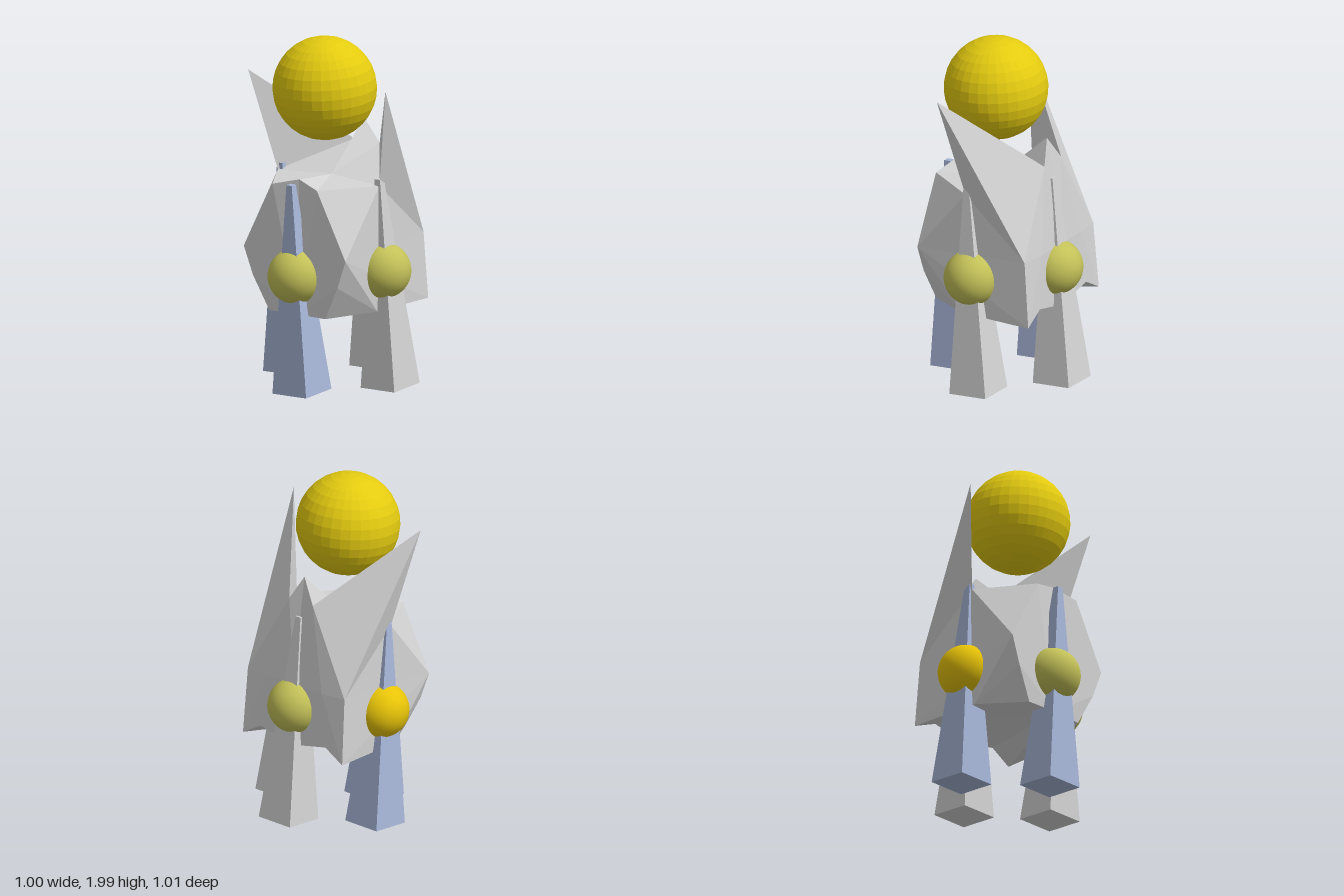
import * as THREE from 'three';

const mat = (name, color, flat = true, side = THREE.FrontSide) =>
  Object.assign(new THREE.MeshStandardMaterial({ color, flatShading: flat, side }), { name });

// Half of the faceted shell (z >= 0); the other half is mirrored
const P = {
  topMid: [-0.03, 1.21, 0], topLeft: [-0.33, 1.23, 0], peak: [0.27, 1.48, 0],
  shoulder: [-0.365, 1.19, 0.15], waist: [-0.365, 0.81, 0.35], hip: [-0.36, 0.65, 0.29],
  baseLeft: [-0.34, 0.457, 0.19], baseLeftMid: [-0.345, 0.46, 0], baseFront: [-0.07, 0.475, 0.35],
  collar: [-0.05, 1.19, 0.35], spike: [-0.16, 1.765, 0.475], ridge: [0.305, 1.34, 0.083],
  side: [0.345, 0.86, 0.36], sideIn: [0.36, 0.86, 0.2], sideMid: [0.36, 0.86, 0],
  baseRight: [0.375, 0.478, 0.37], notch: [0.372, 0.55, 0.24], baseRightMid: [0.372, 0.5, 0],
};

// Each polygon is listed counter-clockwise and filled as a fan
const FACES = [
  'baseLeftMid baseLeft hip waist shoulder topLeft',
  'shoulder waist collar',
  'waist side collar',
  'side spike collar',
  'waist hip baseFront baseRight side',
  'hip baseLeft baseFront',
  'spike side ridge',
  'spike ridge collar',
  'collar ridge topMid',
  'ridge peak topMid',
  'topMid shoulder collar',
  'topMid topLeft shoulder',
  'ridge side sideIn',
  'ridge sideIn sideMid peak',
  'sideIn side baseRight notch baseRightMid sideMid',
  'baseLeftMid baseRightMid notch baseRight baseFront baseLeft',
];

function shellGeometry() {
  const pos = [];
  for (const face of FACES) {
    const pts = face.split(' ').map((n) => P[n]);
    for (let i = 1; i < pts.length - 1; i++) {
      const tri = [pts[0], pts[i], pts[i + 1]];
      tri.forEach((p) => pos.push(...p));
      tri.reverse().forEach(([x, y, z]) => pos.push(x, y, z === 0 ? 0 : -z - 0.012));
    }
  }
  const g = new THREE.BufferGeometry();
  g.setAttribute('position', new THREE.Float32BufferAttribute(pos, 3));
  g.computeVertexNormals();
  return g;
}

// Square leg tapering to a narrow top, base centred on the origin
function legGeometry(base, top, height) {
  const g = new THREE.BoxGeometry(1, height, 1).translate(0, height / 2, 0);
  const p = g.attributes.position;
  for (let i = 0; i < p.count; i++) {
    const s = p.getY(i) > height / 2 ? top : base;
    p.setX(i, p.getX(i) * s);
    p.setZ(i, p.getZ(i) * s);
  }
  g.computeVertexNormals();
  return g;
}

export function createModel() {
  const model = new THREE.Group();
  const grey = mat('light grey', 0xd4d4d4, true, THREE.DoubleSide);
  const blue = mat('steel blue', 0xa9b8da);
  const yellow = mat('yellow', 0xe4cb10);
  const gold = mat('gold', 0xf0cb08, false);
  const olive = mat('olive', 0xc3c158, false);

  const add = (name, geometry, material, position, tilt = 0) => {
    const mesh = new THREE.Mesh(geometry, material);
    mesh.name = name;
    mesh.position.set(...position);
    mesh.rotation.set(tilt ? -0.014 : 0, 0, tilt);
    model.add(mesh);
  };

  add('body', shellGeometry(), grey, [0, 0, 0]);
  add('head', new THREE.SphereGeometry(0.293, 32, 16), yellow, [-0.073, 1.707, -0.016], 0.066);

  // Four leaning legs, each with a ball joint
  const leg = legGeometry(0.236, 0.037, 1.195);
  const joint = new THREE.SphereGeometry(0.157, 32, 24);
  const limbs = [
    ['front', grey, [0.04, 0.035, 0.357], olive, [-0.01, 0.7, 0.347]],
    ['left', grey, [0.38, 0.058, 0.02], olive, [0.333, 0.724, 0.012]],
    ['right', blue, [-0.305, 0.014, 0], olive, [-0.343, 0.677, -0.016]],
    ['back', blue, [0.055, 0.036, -0.338], gold, [0.013, 0.7, -0.348]],
  ];
  for (const [name, legMat, foot, jointMat, ball] of limbs) {
    add(name + 'Leg', leg, legMat, foot, 0.066);
    add(name + 'Joint', joint, jointMat, ball);
  }
  return model;
}
